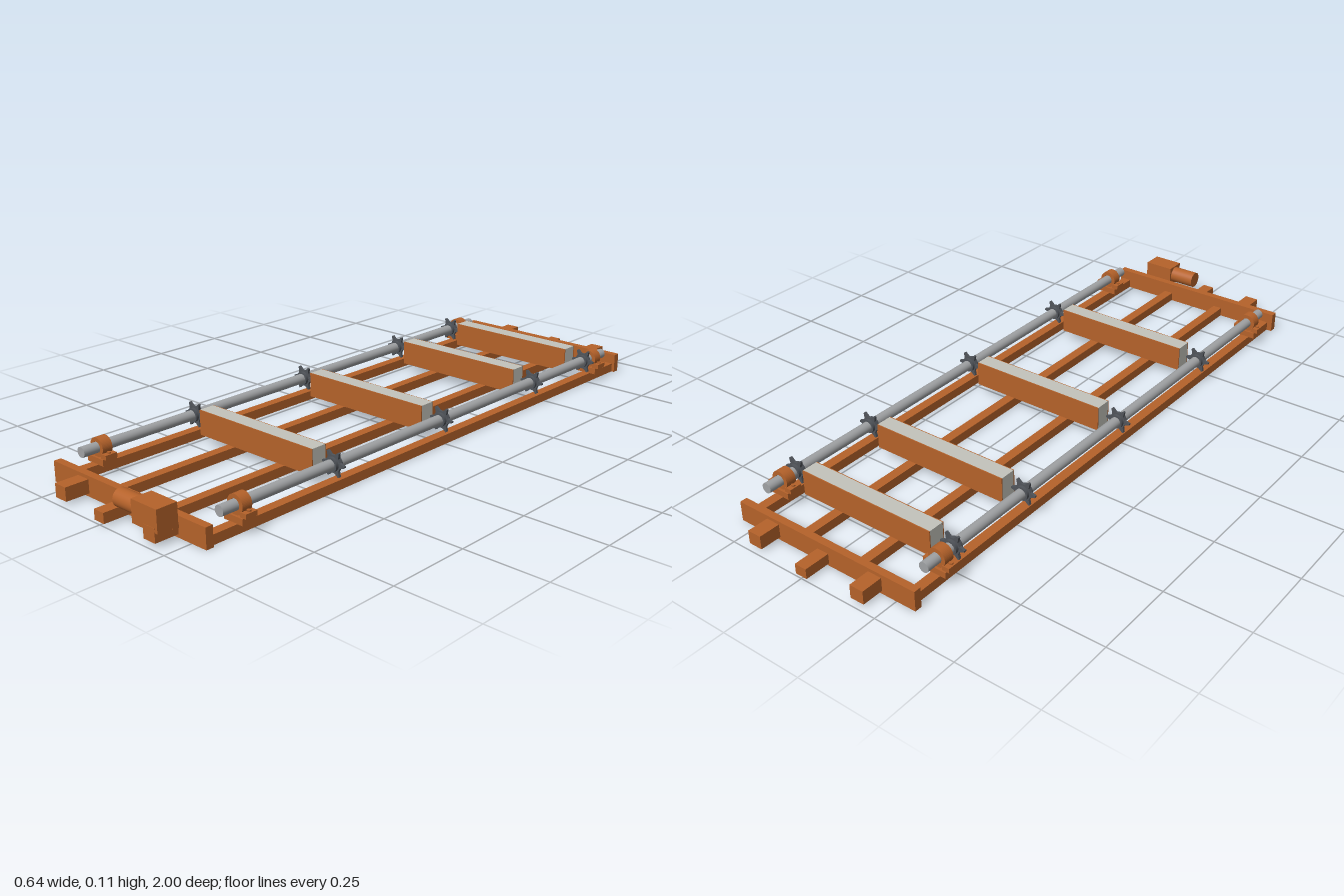
import * as THREE from 'three';

export function createModel() {
  const root = new THREE.Group();
  const mat = (color) => new THREE.MeshStandardMaterial({ color });
  const brown = mat(0xb5622a), steel = mat(0xa0a2a4), dark = mat(0x50545a), pale = mat(0xc4c4bc);

  const add = (name, geo, material, x, y, z, parent = root) => {
    const mesh = new THREE.Mesh(geo, material);
    mesh.name = name;
    mesh.position.set(x, y, z);
    parent.add(mesh);
    return mesh;
  };
  // Box given by its limits on each axis
  const box = (name, [x0, x1], [y0, y1], [z0, z1], material = brown, parent = root) =>
    add(name, new THREE.BoxGeometry(x1 - x0, y1 - y0, z1 - z0), material,
      (x0 + x1) / 2, (y0 + y1) / 2, (z0 + z1) / 2, parent);
  const rod = (r, length) => new THREE.CylinderGeometry(r, r, length, 32).rotateX(Math.PI / 2);

  // Base frame: four long rails and two end plates
  for (const x of [-0.28, -0.1, 0.1, 0.28])
    box('longRail', [x - 0.015, x + 0.015], [0, 0.028], [-0.9, 0.895]);
  box('frontEndPlate', [-0.312, 0.304], [0, 0.06], [0.892, 0.915]);
  box('backEndPlate', [-0.312, 0.304], [0, 0.06], [-0.922, -0.9]);

  // Stubs projecting from both ends
  for (const s of [-1, 1]) {
    const span = (end) => (s > 0 ? [0.912, end] : [-end, -0.918]);
    for (const x of [-0.181, 0.18])
      box('outerStub', [x - 0.022, x + 0.022], [0.01, 0.05], span(0.987));
    box('centreStub', [-0.02, 0.018], [0.008, 0.038], span(1));
  }

  // Toothed wheel: disc outline with six blunt spikes
  const outline = new THREE.Shape();
  for (let i = 0; i < 6; i++) {
    const a = (i * Math.PI) / 3;
    for (const [r, d] of [[0.026, -0.3], [0.03, -0.2], [0.04, -0.06], [0.04, 0.06], [0.03, 0.2], [0.026, 0.3]]) {
      const x = r * Math.cos(a + d), y = r * Math.sin(a + d);
      if (i === 0 && d === -0.3) outline.moveTo(x, y);
      else outline.lineTo(x, y);
    }
  }
  outline.closePath();
  const toothGeo = new THREE.ExtrudeGeometry(outline, { depth: 0.008, bevelEnabled: false }).translate(0, 0, -0.004);

  // Bearing housing: ring around the shaft
  const ring = new THREE.Shape().absarc(0, 0, 0.028, 0, Math.PI * 2, false);
  ring.holes.push(new THREE.Path().absarc(0, 0, 0.016, 0, Math.PI * 2, true));
  const ringGeo = new THREE.ExtrudeGeometry(ring, { depth: 0.032, bevelEnabled: false, curveSegments: 24 })
    .translate(0, 0, -0.016);

  const stations = [-0.74, -0.45, 0, 0.45];
  const shaftY = 0.073;
  for (const x of [-0.279, 0.279]) {
    const side = new THREE.Group();
    side.name = x < 0 ? 'rightDriveShaft' : 'leftDriveShaft';
    side.position.x = x;
    root.add(side);
    add('shaft', rod(0.0155, 1.7), steel, 0, shaftY, 0, side);
    for (const z of stations) {
      add('sprocket', toothGeo, dark, 0, shaftY, z, side);
      add('sprocketHub', rod(0.021, 0.026), dark, 0, shaftY, z, side);
    }
    // Pillow block bearings
    for (const z of [-0.787, 0.783]) {
      add('bearingRing', ringGeo, brown, 0, shaftY, z, side);
      box('bearingFoot', [-0.034, 0.034], [0.027, 0.046], [z - 0.023, z + 0.023], brown, side);
      for (const s of [-1, 1]) {
        add('bearingLug', new THREE.BoxGeometry(0.023, 0.014, 0.038), brown, s * 0.0315, 0.053, z, side);
        add('bearingBolt', new THREE.CylinderGeometry(0.006, 0.006, 0.005, 6), brown, s * 0.033, 0.062, z, side);
      }
    }
  }

  // Cross slats: pale core faced with brown boards
  for (const z of stations) {
    const slat = new THREE.Group();
    slat.name = 'crossSlat';
    slat.position.z = z;
    root.add(slat);
    box('slatCore', [-0.226, 0.225], [0.03, 0.107], [-0.024, 0.024], pale, slat);
    for (const s of [-1, 1])
      add('slatFace', new THREE.BoxGeometry(0.451, 0.076, 0.003), brown, -0.0005, 0.0685, s * 0.0255, slat);
  }

  // Motor with gearbox on the front plate
  const motor = new THREE.Group();
  motor.name = 'driveMotor';
  root.add(motor);
  box('gearbox', [0.115, 0.212], [0.037, 0.102], [0.922, 0.986], brown, motor);
  add('motorBody', new THREE.CylinderGeometry(0.026, 0.026, 0.083, 32).rotateZ(Math.PI / 2),
    brown, 0.0735, 0.071, 0.954, motor);
  box('motorBracket', [0.048, 0.205], [0.028, 0.037], [0.912, 0.935], brown, motor);
  return root;
}
